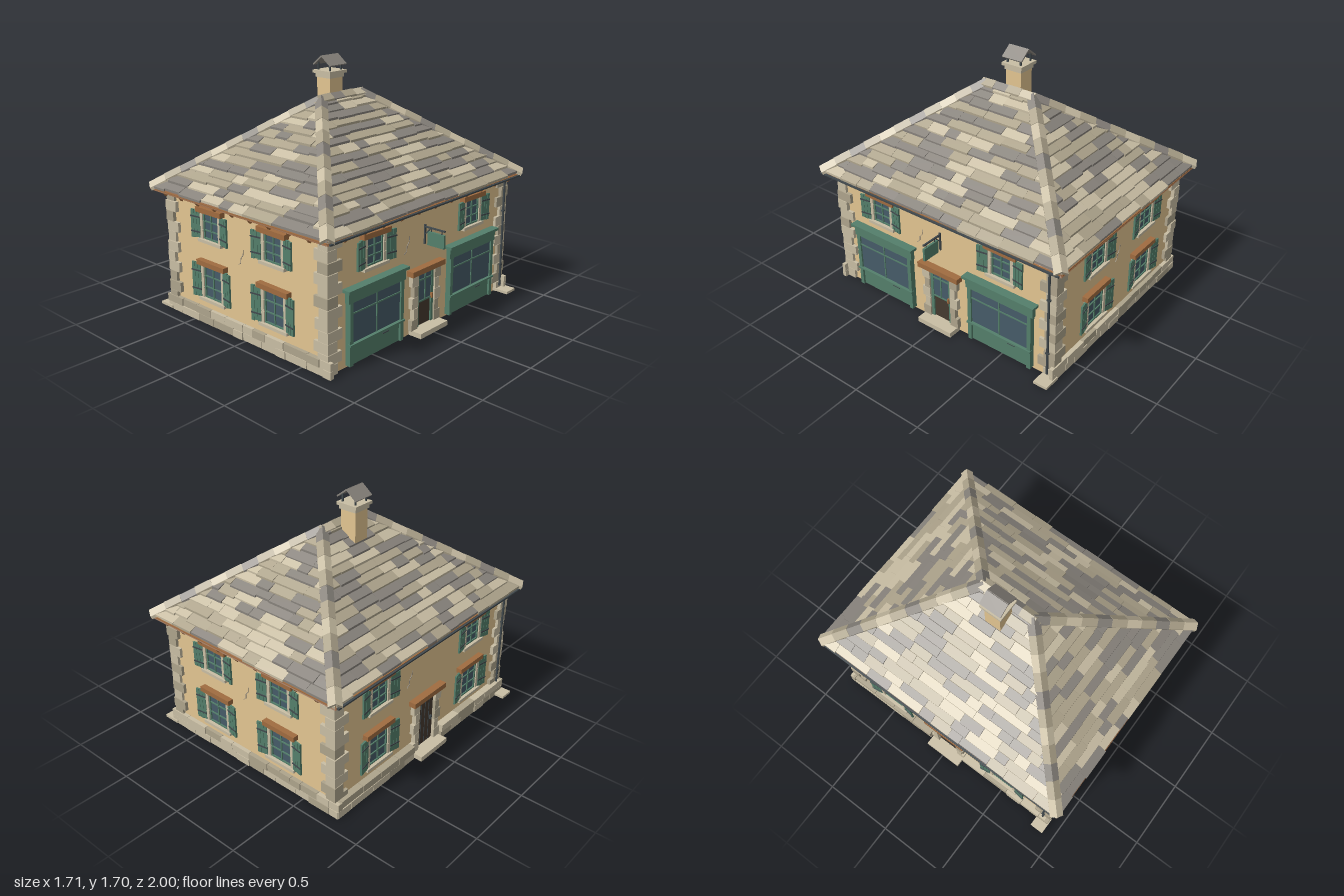
import * as THREE from 'three';
import { mergeGeometries } from 'three/addons/utils/BufferGeometryUtils.js';

const mat = (name, color, side = THREE.FrontSide) => {
  const m = new THREE.MeshStandardMaterial({ color, side });
  m.name = name;
  return m;
};
const M = {
  plaster: mat('plaster', 0xe3c591, THREE.DoubleSide),
  pale: mat('pale stone', 0xc9bea4),
  stone: mat('weathered stone', 0xaea48c),
  slate: mat('grey slate', 0x88837c),
  green: mat('green paint', 0x547f6b),
  glass: mat('window glass', 0x465b68),
  wood: mat('lintel wood', 0xa06c40),
  door: mat('dark door wood', 0x453a2f),
  iron: mat('iron', 0x41494d),
  deck: mat('roof boards', 0x865c3e, THREE.DoubleSide),
};

let seed = 17;
const rnd = (a = 0, b = 1) => {
  seed = (seed * 16807) % 2147483647;
  return a + (b - a) * (seed / 2147483647);
};
const pick = (list) => list[Math.floor(rnd() * list.length)];

function box(parent, name, m, w, h, d, x, y, z) {
  const mesh = new THREE.Mesh(new THREE.BoxGeometry(w, h, d), m);
  mesh.name = name;
  mesh.position.set(x, y, z);
  parent.add(mesh);
  return mesh;
}
function group(parent, name, x = 0, y = 0, z = 0, turn = 0) {
  const g = new THREE.Group();
  g.name = name;
  g.position.set(x, y, z);
  g.rotation.y = turn;
  parent.add(g);
  return g;
}

// House half sizes, eave and ridge
const HX = 0.713, HZ = 0.885, EX = 0.805, EZ = 0.98, RZ = 0.19, EAVE = 0.86, RIDGE = 1.437;

// Window with green bars, stone surround, sill, timber lintel and open shutters
function addWindow(wall, x, y, w, h) {
  const g = group(wall, 'window', x, y, 0);
  box(g, 'pane', M.glass, w, h, 0.036, 0, h / 2, -0.012);
  for (const s of [-1, 1]) {
    box(g, 'sashSide', M.green, 0.01, h, 0.01, s * (w / 2 - 0.005), h / 2, 0.01);
    box(g, 'sashRail', M.green, w, 0.01, 0.01, 0, h / 2 + s * (h / 2 - 0.005), 0.01);
    for (let k = 0; k < 3; k++) {
      const jw = k % 2 ? 0.023 : 0.028;
      box(g, 'jambStone', M.pale, jw, h / 3 - 0.002, 0.03, s * (w / 2 + jw / 2), h * (k + 0.5) / 3, 0.008);
    }
    const shutter = group(g, 'shutter', s * (w / 2 + 0.024), 0, 0.016, -s * 0.16);
    const sw = 0.077;
    for (let k = 0; k < 3; k++)
      box(shutter, 'shutterPlank', M.green, sw / 3 - 0.002, h + rnd(-0.006, 0.012), 0.012, s * sw * (k + 0.5) / 3, h / 2, 0.004);
    for (const f of [0.22, 0.78]) box(shutter, 'shutterHinge', M.iron, sw, 0.009, 0.004, s * sw / 2, h * f, 0.012);
  }
  box(g, 'bar', M.green, 0.009, h, 0.008, 0, h / 2, 0.01);
  for (const f of [1 / 3, 2 / 3]) box(g, 'crossBar', M.green, w, 0.007, 0.008, 0, h * f, 0.01);
  box(g, 'sill', M.pale, w + 0.075, 0.02, 0.05, 0, -0.01, 0.012);
  box(g, 'lintel', M.wood, w + 0.095, 0.034, 0.07, 0, h + 0.016, 0.005).rotation.z = rnd(-0.02, 0.02);
}

// Doorway with stone jambs, timber lintel and step
function addDoor(wall, glazed) {
  const g = group(wall, 'doorway');
  box(g, 'doorLeaf', M.door, 0.17, 0.37, 0.04, 0, 0.22, -0.012);
  if (glazed) {
    box(g, 'doorGlass', M.glass, 0.13, 0.19, 0.006, 0, 0.3, 0.011);
    for (const s of [-1, 1]) box(g, 'doorFrame', M.green, 0.022, 0.37, 0.012, s * 0.074, 0.22, 0.012);
    for (const y of [0.205, 0.35, 0.398]) box(g, 'doorRail', M.green, 0.15, 0.01, 0.01, 0, y, 0.014);
    box(g, 'doorBar', M.green, 0.01, 0.19, 0.01, 0, 0.3, 0.014);
    box(g, 'doorHandle', M.wood, 0.014, 0.035, 0.016, 0.066, 0.215, 0.02);
  } else {
    for (const x of [-0.042, 0, 0.042]) box(g, 'plankGap', M.iron, 0.004, 0.36, 0.004, x, 0.22, 0.009);
    box(g, 'doorHandle', M.iron, 0.012, 0.03, 0.014, 0.06, 0.21, 0.014);
  }
  for (const s of [-1, 1])
    for (let k = 0; k < 5; k++) {
      const w = k % 2 ? 0.042 : 0.062;
      box(g, 'doorJambStone', pick([M.pale, M.stone]), w, 0.073, 0.045, s * (0.085 + w / 2), 0.067 + k * 0.075, 0.008);
    }
  box(g, 'doorLintel', M.wood, 0.335, 0.036, 0.08, 0, 0.425, 0.01);
  box(g, 'doorStep', M.pale, 0.28, 0.034, 0.13, 0, 0.017, 0.035);
}

// Painted shopfront
function addShopfront(wall, x) {
  const g = group(wall, 'shopfront', x, 0, 0);
  box(g, 'shopPanel', M.green, 0.49, 0.48, 0.05, 0, 0.255, 0);
  box(g, 'shopGlass', M.glass, 0.44, 0.26, 0.006, 0, 0.285, 0.026);
  for (const s of [-1, 1]) box(g, 'shopPost', M.green, 0.028, 0.48, 0.02, s * 0.233, 0.255, 0.03);
  box(g, 'shopBar', M.green, 0.009, 0.26, 0.01, 0, 0.285, 0.029);
  box(g, 'shopTransom', M.green, 0.44, 0.009, 0.01, 0, 0.345, 0.029);
  box(g, 'shopSill', M.green, 0.5, 0.012, 0.03, 0, 0.152, 0.035);
  box(g, 'shopFascia', M.green, 0.52, 0.07, 0.03, 0, 0.452, 0.025);
  box(g, 'shopCornice', M.green, 0.55, 0.018, 0.08, 0, 0.496, 0.02);
  box(g, 'letterSlot', M.iron, 0.06, 0.006, 0.004, 0.09, 0.12, 0.027);
}

// Two courses of plinth stones
function addPlinth(wall, half, out, gap) {
  for (let row = 0; row < 2; row++)
    for (const s of [-1, 1])
      for (let u = gap; u < half;) {
        let w = Math.min(rnd(0.08, 0.2), half - u);
        if (half - u - w < 0.04) w = half - u;
        const depth = out + rnd(-0.005, 0.003);
        box(wall, 'plinthStone', pick([M.pale, M.pale, M.stone]), w - 0.003, 0.05, depth,
          s * (u + w / 2), 0.027 + row * 0.052, depth / 2 + 0.001);
        u += w;
      }
}

function addCrack(wall, x, y) {
  const pts = [[0, 0], [0.022, 0.02], [0.024, 0.05], [0.045, 0.075], [0.048, 0.11]];
  for (let i = 1; i < pts.length; i++) {
    const [ax, ay] = pts[i - 1], [bx, by] = pts[i];
    box(wall, 'crack', M.slate, Math.hypot(bx - ax, by - ay), 0.003, 0.003, x + (ax + bx) / 2, y + (ay + by) / 2, 0.002)
      .rotation.z = Math.atan2(by - ay, bx - ax);
  }
}

// One slope of slates, overlapping course by course and trimmed at the hips
function addSlates(buckets, turn, start, run, ridgeHalf, eaveHalf) {
  const rows = 15, step = run / rows, slope = (RIDGE - EAVE) / run;
  const halfAt = (d) => ridgeHalf + Math.max(d, 0) * (eaveHalf - ridgeHalf) / run;
  for (let r = 0; r < rows; r++) {
    const half = halfAt((r + 1) * step);
    for (let u = -half; u < half;) {
      const len = rnd(0.08, 0.27), u1 = half - u - len < 0.05 ? half : u + len;
      const d0 = r * step - 0.012, d1 = (r + 1) * step + rnd(-0.005, 0.006), lift = rnd(0.011, 0.02);
      const geo = new THREE.BoxGeometry(1, 1, 1), p = geo.attributes.position;
      for (let i = 0; i < p.count; i++) {
        const low = p.getZ(i) > 0, d = low ? d1 : d0, h = halfAt(d);
        const x = p.getX(i) < 0 ? u + 0.001 : u1 - 0.001;
        const y = RIDGE - d * slope + (low ? lift : 0) + (p.getY(i) > 0 ? 0.006 : -0.009);
        p.setXYZ(i, THREE.MathUtils.clamp(x, -h, h), y, start + d);
      }
      const flat = geo.toNonIndexed();
      flat.computeVertexNormals();
      flat.rotateY(turn);
      buckets.get(pick([M.pale, M.stone, M.slate])).push(flat);
      u = u1;
    }
  }
}

// Run of chevron cap stones from a to b
function addCaps(parent, name, a, b, count) {
  const section = new THREE.Shape([[-0.042, -0.03], [0, 0], [0.042, -0.03], [0.042, -0.008], [0, 0.024], [-0.042, -0.008]]
    .map(([x, y]) => new THREE.Vector2(x, y)));
  const len = a.distanceTo(b) / count;
  for (let i = 0; i < count; i++) {
    const cap = new THREE.Mesh(new THREE.ExtrudeGeometry(section, { depth: len * 1.03, bevelEnabled: false }),
      [M.pale, M.stone, M.slate, M.stone][i % 4]);
    cap.name = name;
    cap.position.lerpVectors(a, b, i / count);
    cap.position.y += (i % 2) * 0.003;
    cap.lookAt(b);
    parent.add(cap);
  }
}

export function createModel() {
  const root = new THREE.Group();
  root.name = 'house';
  const house = group(root, 'building', -0.022);
  const V = (x, y, z) => new THREE.Vector3(x, y, z);

  // Walls: each is built facing +z, then turned into place
  const sides = [['frontWall', 0, HX, HZ], ['shopWall', 1, HZ, HX], ['backWall', 2, HX, HZ], ['rearDoorWall', 3, HZ, HX]];
  for (const [name, k, half, dist] of sides) {
    const turn = k * Math.PI / 2;
    const wall = group(house, name, Math.sin(turn) * dist, 0, Math.cos(turn) * dist, turn);
    const plane = new THREE.Mesh(new THREE.PlaneGeometry(half * 2, 0.915), M.plaster);
    plane.name = 'plaster';
    plane.position.y = 0.4575;
    wall.add(plane);
    const gable = k % 2 === 0, off = gable ? 0.286 : 0.495;
    for (const s of [-1, 1]) {
      addWindow(wall, s * off, 0.59, 0.148, 0.18);
      if (k !== 1) addWindow(wall, s * off, 0.185, 0.172, 0.225);
      else addShopfront(wall, s * 0.49);
    }
    if (!gable) addDoor(wall, k === 1);
    if (k !== 1) addPlinth(wall, half + (gable ? 0.05 : 0.025), gable ? 0.028 : 0.05, gable ? 0 : 0.15);
    addCrack(wall, gable ? -0.045 : -0.2, gable ? 0.49 : 0.56);
    // Rafter tails and eave boards
    const n = gable ? 9 : 11;
    for (let i = 0; i < n; i++)
      box(wall, 'rafterTail', M.wood, 0.02, 0.024, 0.13, (i / (n - 1) * 2 - 1) * (half - 0.06), 0.876, 0.035).rotation.x = 0.63;
    const [eaveHalf, eaveOut] = gable ? [EX, EZ - HZ] : [EZ, EX - HX];
    box(wall, 'eaveBoard', M.wood, eaveHalf * 2 - 0.03, 0.014, 0.014, 0, 0.851, eaveOut - 0.012);
    if (!gable) {
      // Gutter, downpipe and splash stone
      box(wall, 'gutter', M.iron, EZ * 2 - 0.03, 0.01, 0.014, 0, 0.851, eaveOut + 0.004);
      const pipe = new THREE.Mesh(new THREE.CylinderGeometry(0.008, 0.008, 0.8, 8), M.iron);
      pipe.name = 'downpipe';
      pipe.position.set(0.858, 0.44, 0.03);
      wall.add(pipe);
      box(wall, 'pipeElbow', M.iron, 0.012, 0.012, 0.07, 0.858, 0.846, 0.06);
      for (const y of [0.2, 0.6]) box(wall, 'pipeBracket', M.iron, 0.024, 0.01, 0.034, 0.858, y, 0.02);
      box(wall, 'splashStone', M.pale, 0.1, 0.018, 0.12, 0.87, 0.016, 0.06);
    }
  }

  // Corner stones, long and short by turns
  for (const sx of [-1, 1]) for (const sz of [-1, 1])
    for (let k = 0; k < 12; k++) {
      const a = k % 2 ? 0.07 : 0.105, b = k % 2 ? 0.115 : 0.075;
      const w = a + rnd(0, 0.012), d = b + rnd(0, 0.012), out = 0.018 + rnd(0, 0.008);
      box(house, 'cornerStone', pick([M.pale, M.pale, M.stone]), w, 0.068, d,
        sx * (HX + out - w / 2), 0.036 + k * 0.0705, sz * (HZ + out - d / 2));
    }

  // Roof boards under the slates
  const e = EAVE - 0.012, t = RIDGE - 0.012;
  const A = [-EX, e, EZ], B = [EX, e, EZ], C = [EX, e, -EZ], D = [-EX, e, -EZ], F = [0, t, RZ], R = [0, t, -RZ];
  const boards = new THREE.BufferGeometry();
  boards.setAttribute('position', new THREE.Float32BufferAttribute(
    [A, B, F, B, C, R, B, R, F, C, D, R, D, A, F, D, F, R].flat(), 3));
  boards.computeVertexNormals();
  const deck = new THREE.Mesh(boards, M.deck);
  deck.name = 'roofBoards';
  house.add(deck);

  // Slates
  const buckets = new Map([[M.pale, []], [M.stone, []], [M.slate, []]]);
  for (const k of [0, 2]) addSlates(buckets, k * Math.PI / 2, RZ, EZ - RZ, 0, EX);
  for (const k of [1, 3]) addSlates(buckets, k * Math.PI / 2, 0, EX, RZ, EZ);
  for (const [m, list] of buckets) {
    const slates = new THREE.Mesh(mergeGeometries(list), m);
    slates.name = 'roofSlates';
    house.add(slates);
  }
  for (const sx of [-1, 1]) for (const sz of [-1, 1])
    addCaps(house, 'hipCap', V(sx * (EX - 0.005), EAVE + 0.015, sz * (EZ - 0.005)), V(0, RIDGE + 0.008, sz * RZ), 11);
  addCaps(house, 'ridgeCap', V(0, RIDGE + 0.006, -RZ - 0.02), V(0, RIDGE + 0.006, RZ + 0.02), 4);

  // Chimney with a small gabled cowl
  const chimney = group(root, 'chimney', -0.125, 0, 0);
  box(chimney, 'stack', M.plaster, 0.118, 0.26, 0.118, 0, 1.43, 0);
  box(chimney, 'collar', M.pale, 0.135, 0.03, 0.135, 0, 1.565, 0);
  box(chimney, 'cap', M.pale, 0.16, 0.02, 0.16, 0, 1.587, 0);
  for (const s of [-1, 1]) {
    for (const z of [-1, 1]) box(chimney, 'cowlLeg', M.iron, 0.01, 0.055, 0.01, s * 0.052, 1.622, z * 0.052);
    box(chimney, 'cowlSlab', M.slate, 0.098, 0.01, 0.155, s * 0.039, 1.663, 0).rotation.z = -s * 0.66;
  }

  // Hanging sign board on an iron arm
  const sign = group(root, 'hangingSign');
  box(sign, 'signArm', M.iron, 0.16, 0.009, 0.012, 0.77, 0.695, 0);
  box(sign, 'signWallPlate', M.iron, 0.01, 0.13, 0.012, 0.695, 0.645, 0);
  box(sign, 'signBrace', M.iron, 0.06, 0.007, 0.008, 0.722, 0.672, 0).rotation.z = 0.8;
  for (const x of [0.745, 0.825]) box(sign, 'signHook', M.iron, 0.005, 0.03, 0.005, x, 0.68, 0);
  box(sign, 'signBoard', M.green, 0.128, 0.09, 0.016, 0.785, 0.625, 0);
  return root;
}
